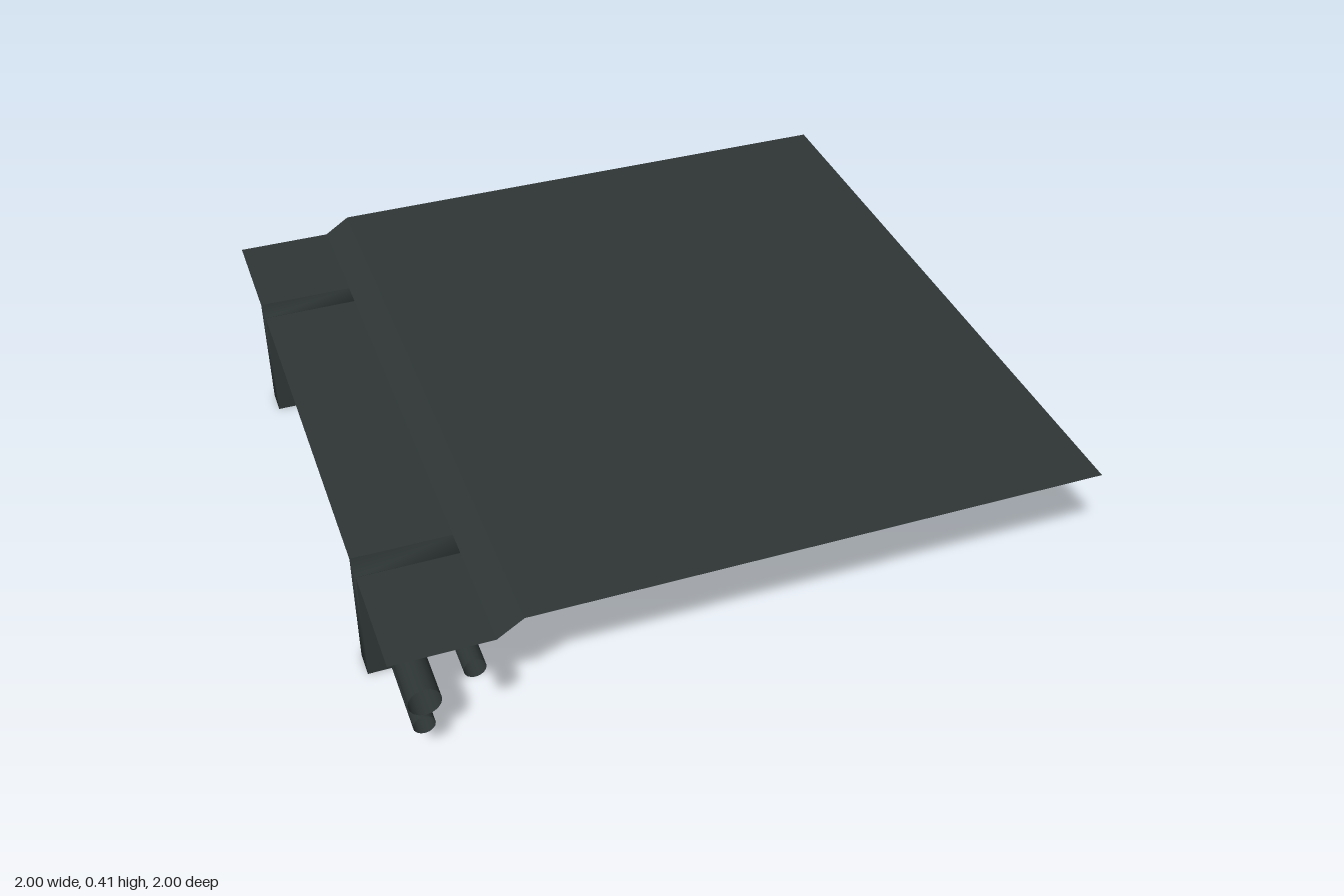
import * as THREE from 'three';

// Bracket outline, counter-clockwise seen from the front
const OUTLINE = [[-1, 0], [-0.92, 0], [-0.775, 0.065], [-0.72, 0.2], [-0.72, 0.356], [-1, 0.356]];
// Stepped cross-section of the deck sheet
const DECK = [[-1, 0.355], [-0.72, 0.355], [-0.645, 0.405], [1, 0.405]];
// Pipes: x, y, radius
const PIPES = [[-0.78, 0.275, 0.03], [-0.915, 0.2, 0.045], [-0.922, 0.12, 0.03]];

// Sweeps a cross-section along z between z0 and z1
function sweep(points, z0, z1, closed) {
  const pos = [], index = [], n = points.length;
  for (const [x, y] of points) pos.push(x, y, z0, x, y, z1);
  for (let i = 0; i < (closed ? n : n - 1); i++) {
    const a = 2 * i, b = 2 * ((i + 1) % n);
    index.push(a, b, b + 1, a, b + 1, a + 1);
  }
  const geo = new THREE.BufferGeometry();
  geo.setAttribute('position', new THREE.Float32BufferAttribute(pos, 3));
  geo.setIndex(index);
  geo.computeVertexNormals();
  return geo;
}

export function createModel() {
  const model = new THREE.Group();
  model.name = 'pipeRackDeck';
  const metal = new THREE.MeshStandardMaterial({ color: 0x2e3635, side: THREE.DoubleSide });
  metal.name = 'darkGreyMetal';

  const add = (parent, name, geo) => {
    const mesh = new THREE.Mesh(geo, metal);
    mesh.name = name;
    parent.add(mesh);
    return mesh;
  };

  // Thin stepped deck, faces up and kept crisp at the folds
  const deckGeo = sweep([...DECK].reverse(), -1, 1, false).toNonIndexed();
  deckGeo.computeVertexNormals();
  add(model, 'deckSheet', deckGeo);

  // Two hanging brackets: smooth rim and flat side plates
  const shape = new THREE.Shape(OUTLINE.map(([x, y]) => new THREE.Vector2(x, y)));
  for (const [name, z] of [['frontBracket', 0.6225], ['backBracket', -0.6225]]) {
    const bracket = new THREE.Group();
    bracket.name = name;
    const half = 0.0375;
    add(bracket, 'bracketRim', sweep(OUTLINE, -half, half, true));
    add(bracket, 'bracketFrontPlate', new THREE.ShapeGeometry(shape)).position.z = half;
    // Back plate is turned to face -z
    const back = new THREE.ShapeGeometry(shape);
    back.rotateY(Math.PI).translate(-1.72, 0, 0).scale(1, 1, 1);
    const mirrored = new THREE.Shape(OUTLINE.map(([x, y]) => new THREE.Vector2(-x, y)).reverse());
    back.copy(new THREE.ShapeGeometry(mirrored).rotateY(Math.PI));
    add(bracket, 'bracketBackPlate', back).position.z = -half;
    bracket.position.z = z;
    model.add(bracket);
  }

  // Open-ended pipes running the full depth
  PIPES.forEach(([x, y, r], i) => {
    const pipe = add(model, `pipe${i + 1}`, new THREE.CylinderGeometry(r, r, 2, 16, 1, true).rotateX(Math.PI / 2));
    pipe.position.set(x, y, 0);
  });

  return model;
}
